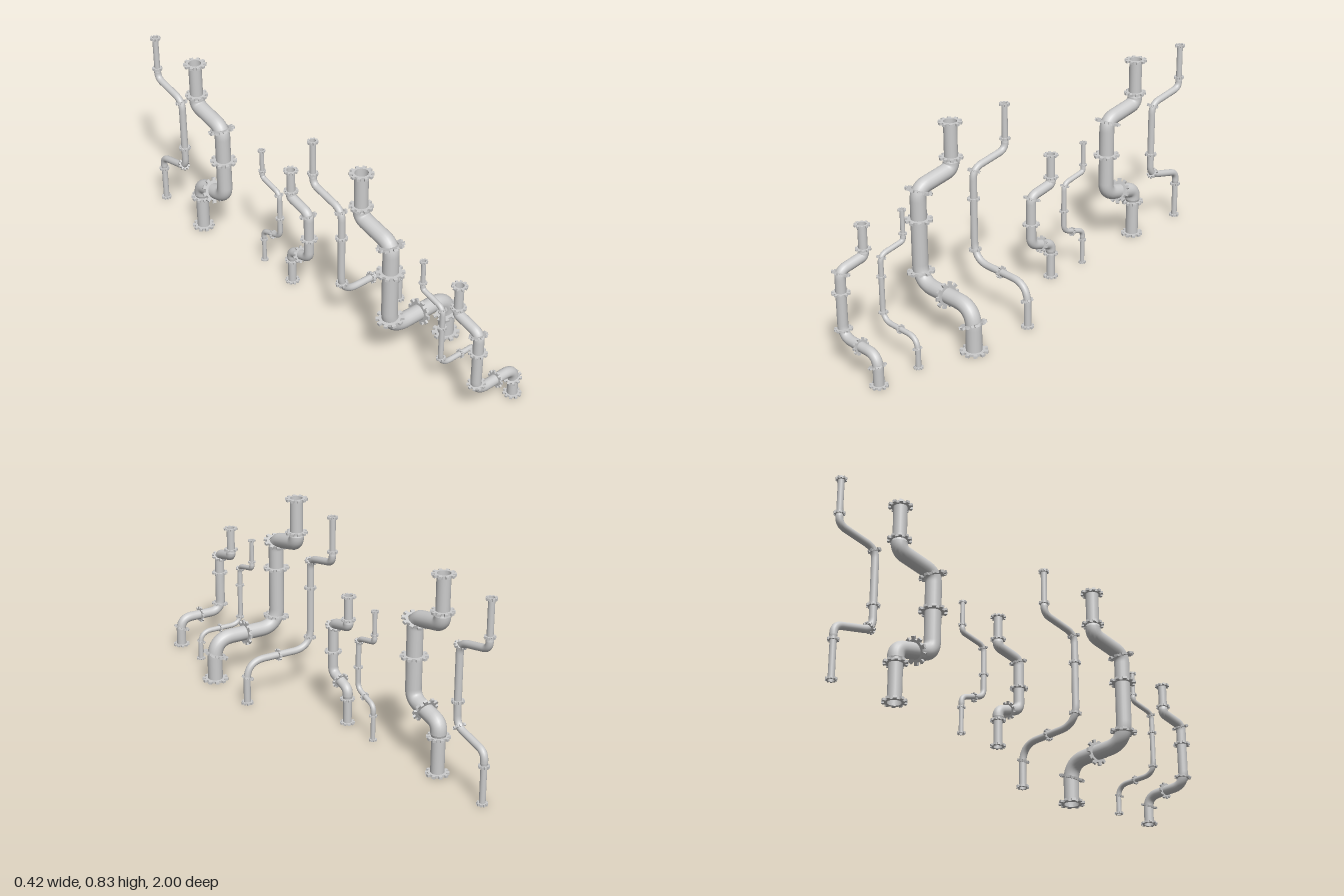
import * as THREE from 'three';

const material = new THREE.MeshStandardMaterial({ color: 0xcccccc, side: THREE.DoubleSide });
const V = (x, y, z) => new THREE.Vector3(x, y, z);

// Polyline with rounded corners; each corner is [point, cut distance]
function roundedPath(points) {
  const path = new THREE.CurvePath();
  let from = points[0][0];
  for (let i = 1; i < points.length - 1; i++) {
    const [corner, cut] = points[i];
    const a = points[i - 1][0].clone().sub(corner).setLength(cut).add(corner);
    const b = points[i + 1][0].clone().sub(corner).setLength(cut).add(corner);
    path.add(new THREE.LineCurve3(from, a));
    path.add(new THREE.QuadraticBezierCurve3(a, corner, b));
    from = b;
  }
  path.add(new THREE.LineCurve3(from, points[points.length - 1][0]));
  return path;
}

// Toothed ring that joins two lengths of pipe
function flangeGeometry(r, thickness) {
  const teeth = 10, shape = new THREE.Shape();
  for (let i = 0; i < teeth; i++) {
    [[-0.27, 1.35], [-0.23, 1.74], [0.23, 1.74], [0.27, 1.35]].forEach(([o, k], j) => {
      const a = ((i + o) / teeth) * Math.PI * 2;
      const x = Math.cos(a) * r * k, y = Math.sin(a) * r * k;
      if (i + j === 0) shape.moveTo(x, y); else shape.lineTo(x, y);
    });
  }
  shape.closePath();
  shape.holes.push(new THREE.Path().absarc(0, 0, r * 0.97, 0, Math.PI * 2, true));
  const g = new THREE.ExtrudeGeometry(shape, { depth: thickness, bevelEnabled: false, curveSegments: 16 });
  return g.translate(0, 0, -thickness / 2);
}

const SIZES = {
  tall: { x: 0.156, step: 0.173, top: 0.827, joint: 0.675, bendLow: 0.592, bendHigh: 0.628, tilt: 0.583,
    cut: 0.045, thick: 0.01, runY: 0.19, elbow: 0.085, runJoint: 0.118, riseJoint: 0.238, midRun: 0.462,
    lowHigh: 0.255, lowLow: 0.217, lowJoint: 0.16 },
  short: { x: 0.103, step: 0.113, top: 0.563, joint: 0.46, bendLow: 0.405, bendHigh: 0.43, tilt: 0.395,
    cut: 0.03, thick: 0.0075, runY: 0.129, elbow: 0.055, runJoint: 0.083, riseJoint: 0.163, midRun: 0.315,
    lowHigh: 0.188, lowLow: 0.153, lowJoint: 0.11 },
};

// One standing pipe: an optional sideways run or rear offset below, a rear offset above
function pipe(name, size, r, z, sideways, midY, lowFlange) {
  const s = SIZES[size], group = new THREE.Group();
  group.name = name;
  const x = -s.x, back = z - s.step, end = r * 0.85, taper = 0.03;

  const add = (geometry, part) => {
    const mesh = new THREE.Mesh(geometry, material);
    mesh.name = part;
    group.add(mesh);
    return mesh;
  };
  const flange = (position, normal = V(0, 1, 0), radius = r) => {
    const m = add(flangeGeometry(radius, s.thick), 'flange');
    m.position.copy(position);
    m.quaternion.setFromUnitVectors(V(0, 0, 1), normal.normalize());
  };
  const straight = (y0, y1, r0, r1, part) =>
    add(new THREE.CylinderGeometry(r1, r0, y1 - y0, 20, 1, true), part).position.set(x, (y0 + y1) / 2, back);

  // Main bent tube
  const points = sideways
    ? [[V(s.x, 0, z)], [V(s.x, s.runY, z), s.elbow], [V(x, s.runY, z), s.elbow]]
    : [[V(x, s.lowJoint + taper / 2, back)], [V(x, s.lowLow, back), s.cut * 0.8], [V(x, s.lowHigh, z), s.cut]];
  points.push([V(x, s.bendLow, z), s.cut], [V(x, s.bendHigh, back), s.cut * 0.75],
    [V(x, s.joint - taper / 2, back)]);
  // Keep the bend ends inside the short vertical leads
  points[points.length - 2][1] = Math.min(s.cut * 0.75, s.joint - taper / 2 - s.bendHigh);
  if (!sideways) points[1][1] = Math.min(s.cut * 0.75, s.lowLow - s.lowJoint - taper / 2);
  add(new THREE.TubeGeometry(roundedPath(points), 110, r, 18, false), 'bentTube');

  // Narrower upper end
  straight(s.joint - taper / 2, s.joint, r, end, 'upperTaper');
  straight(s.joint, s.top, end, end, 'upperEnd');
  flange(V(x, s.joint, back), undefined, end);
  flange(V(x, s.top - s.thick / 2, back), undefined, end);

  // Column joints
  flange(V(x, s.tilt, z - 0.004), V(0, 1, -0.36));
  flange(V(x, midY, z));

  if (sideways) {
    flange(V(s.x, s.thick / 2, z));
    flange(V(s.x - 0.004, s.runJoint, z), V(-0.4, 1, 0));
    flange(V(0.003, s.runY, z), V(1, 0, 0));
    flange(V(x + 0.003, s.riseJoint, z), V(-0.1, 1, 0));
  } else {
    // Narrower lower end
    straight(s.lowJoint, s.lowJoint + taper / 2, end, r, 'lowerTaper');
    straight(0, s.lowJoint, end, end, 'lowerEnd');
    flange(V(x, s.lowJoint, back), undefined, end);
    flange(V(x, s.thick / 2, back), undefined, end);
    flange(V(x, lowFlange[0], lowFlange[1]), V(0, lowFlange[2], 1));
  }
  return group;
}

export function createModel() {
  const model = new THREE.Group();
  model.name = 'pipeSet';
  model.add(
    pipe('shortWideRunPipe', 'short', 0.021, 0.965, true, 0.315),
    pipe('shortThinRunPipe', 'short', 0.011, 0.773, true, 0.315),
    pipe('tallWideRunPipe', 'tall', 0.0325, 0.537, true, 0.462),
    pipe('tallThinRunPipe', 'tall', 0.015, 0.251, true, 0.462),
    pipe('shortWideOffsetPipe', 'short', 0.021, -0.016, false, 0.281, [0.17, -0.073, 0.4]),
    pipe('shortThinOffsetPipe', 'short', 0.011, -0.206, false, 0.281, [0.17, -0.255, 0.35]),
    pipe('tallWideOffsetPipe', 'tall', 0.0325, -0.516, false, 0.432, [0.238, -0.598, 0.5]),
    pipe('tallThinOffsetPipe', 'tall', 0.015, -0.802, false, 0.355, [0.258, -0.817, 1.2]),
  );
  return model;
}
